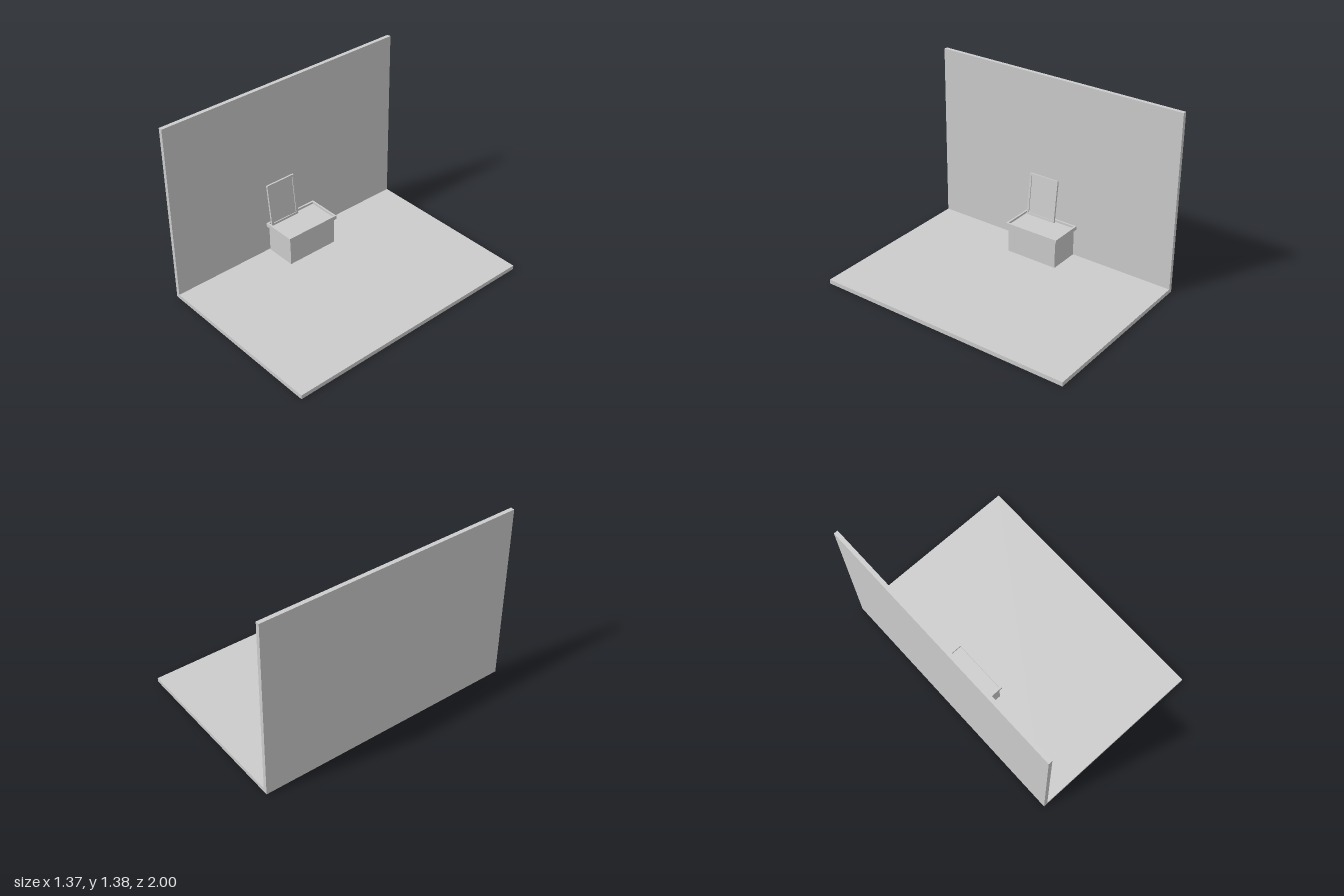
import * as THREE from 'three';

const material = new THREE.MeshStandardMaterial({ color: 0xcccccc, flatShading: true });

function addMesh(parent, name, geometry) {
  const mesh = new THREE.Mesh(geometry, material);
  mesh.name = name;
  parent.add(mesh);
  return mesh;
}

// Box given by its lower and upper limits on each axis
function addBox(parent, name, [x0, x1], [y0, y1], [z0, z1]) {
  const mesh = addMesh(parent, name, new THREE.BoxGeometry(x1 - x0, y1 - y0, z1 - z0));
  mesh.position.set((x0 + x1) / 2, (y0 + y1) / 2, (z0 + z1) / 2);
  return mesh;
}

function rectangle(PathType, w, h) {
  return new PathType([
    new THREE.Vector2(-w / 2, -h / 2), new THREE.Vector2(w / 2, -h / 2),
    new THREE.Vector2(w / 2, h / 2), new THREE.Vector2(-w / 2, h / 2),
  ]);
}

// Rectangular frame in the XY plane, centred, with its depth along z
function frameGeometry(w, h, border, depth) {
  const shape = rectangle(THREE.Shape, w, h);
  shape.holes.push(rectangle(THREE.Path, w - 2 * border, h - 2 * border));
  return new THREE.ExtrudeGeometry(shape, { depth, bevelEnabled: false }).translate(0, 0, -depth / 2);
}

export function createModel() {
  const model = new THREE.Group();
  model.name = 'washRoomCorner';

  // Room shell
  addBox(model, 'floor', [-0.683, 0.683], [0, 0.032], [-1, 1]);
  addBox(model, 'wall', [-0.683, -0.653], [0.032, 1.377], [-1, 1]);

  // Cabinet with a raised rim around its recessed top
  const cabinet = new THREE.Group();
  cabinet.name = 'cabinet';
  model.add(cabinet);
  addBox(cabinet, 'cabinetBody', [-0.626, -0.385], [0.05, 0.27], [-0.206, 0.206]);
  const rim = addMesh(cabinet, 'cabinetRim', frameGeometry(0.265, 0.44, 0.014, 0.03).rotateX(-Math.PI / 2));
  rim.position.set(-0.5055, 0.271, 0);

  // Framed mirror leaning back from the cabinet top to the wall
  const mirror = new THREE.Group();
  mirror.name = 'mirror';
  mirror.position.set(-0.607, 0.27, 0.076);
  mirror.rotation.z = 0.118;
  model.add(mirror);
  const height = 0.327, width = 0.244, border = 0.016;
  const frame = addMesh(mirror, 'mirrorFrame', frameGeometry(width, height, border, 0.015).rotateY(Math.PI / 2));
  frame.position.y = height / 2;
  const pane = addMesh(mirror, 'mirrorPane',
    new THREE.BoxGeometry(0.007, height - 2 * border, width - 2 * border));
  pane.position.set(-0.003, height / 2, 0);

  return model;
}
